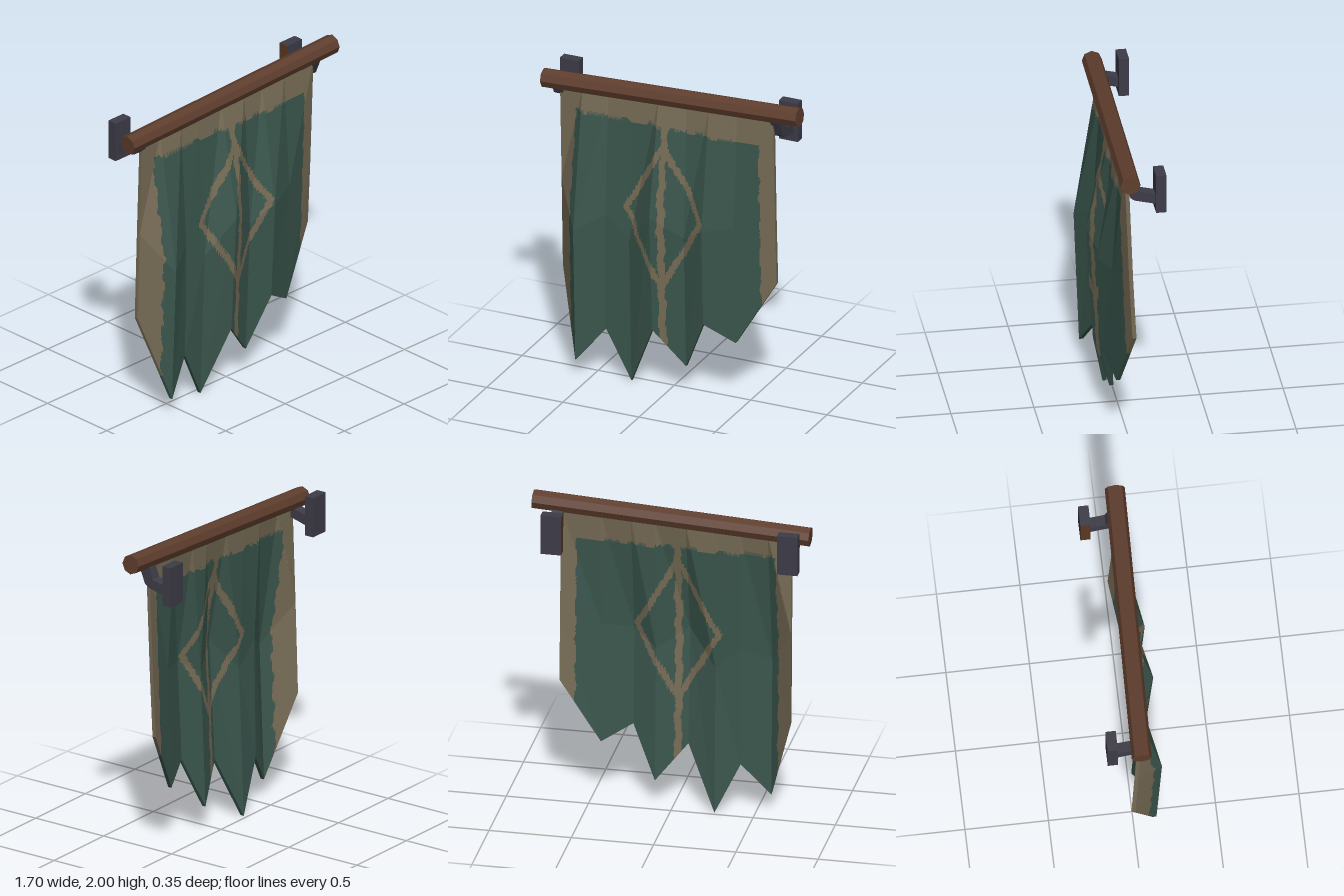
import * as THREE from 'three';

const mat = (name, color) => {
  const m = new THREE.MeshStandardMaterial({ color });
  m.name = name;
  return m;
};

// Pole axis as a function of x
const poleY = (x) => 1.9 + 0.047 * x;
const poleZ = (x) => 0.035 + 0.018 * x;

// Fold lines of the cloth: x, middle y, middle z, hem y, hem z
const folds = [
  [-0.735, 1.22, 0.0, 0.65, -0.018],
  [-0.587, 0.97, 0.158, 0.11, 0.125],
  [-0.415, 1.07, 0.07, 0.32, 0.06],
  [-0.26, 0.93, 0.07, 0.0, 0.035],
  [-0.085, 1.15, 0.163, 0.4, 0.12],
  [0.105, 1.02, 0.085, 0.17, 0.05],
  [0.25, 1.12, 0.15, 0.5, 0.12],
  [0.435, 1.15, 0.085, 0.39, 0.06],
  [0.675, 1.2, 0.02, 0.8, 0.0],
];
const rows = [
  ([x]) => new THREE.Vector3(x, poleY(x) - 0.03, poleZ(x)),
  ([x, y, z]) => new THREE.Vector3(x, y, z),
  ([x, , , y, z]) => new THREE.Vector3(x, y, z),
];
const N = 28;
const HALF = 0.012;

// Point on the folded cloth: each patch is two flat triangles
function clothPoint(i, j) {
  const c = Math.min(Math.floor(i / N), folds.length - 2);
  const r = Math.min(Math.floor(j / N), 1);
  const s = i / N - c, t = j / N - r;
  const a = rows[r](folds[c]), b = rows[r](folds[c + 1]);
  const d = rows[r + 1](folds[c]), e = rows[r + 1](folds[c + 1]);
  if (s + t <= 1) {
    return a.clone().addScaledVector(b.sub(a), s).addScaledVector(d.sub(a), t);
  }
  return e.clone().addScaledVector(d.sub(e), 1 - s).addScaledVector(b.sub(e), 1 - t);
}

// Worn border, centre stripe and diamond
function isTrim(x, y) {
  const wx = 0.005 * Math.sin(y * 31) + 0.003 * Math.sin(y * 73);
  const wy = 0.005 * Math.sin(x * 37) + 0.003 * Math.sin(x * 81);
  if (x < -0.635 + wx || x > 0.585 + wx || y > 1.705 + wy) return true;
  if (Math.abs(x + 0.025 + wx) < 0.021) return true;
  const diamond = Math.abs(x + 0.025) / 0.255 + Math.abs(y - 1.15) / 0.45;
  return Math.abs(diamond - 1 + wx * 2) < 0.085;
}

function buildCloth(materials) {
  const lists = [[], []];
  const tri = (a, b, c) => {
    const x = (a.x + b.x + c.x) / 3, y = (a.y + b.y + c.y) / 3;
    const list = lists[isTrim(x, y) ? 1 : 0];
    for (const p of [a, b, c]) list.push(p.x, p.y, p.z);
  };
  const quad = (a, b, c, d) => { tri(a, b, d); tri(b, c, d); };
  const W = (folds.length - 1) * N, H = 2 * N;
  const grid = (dz) => Array.from({ length: W + 1 }, (_, i) =>
    Array.from({ length: H + 1 }, (_, j) => {
      const p = clothPoint(i, j);
      p.z += dz;
      return p;
    }));
  const f = grid(HALF), k = grid(-HALF);
  for (let i = 0; i < W; i++) {
    for (let j = 0; j < H; j++) {
      // front and back faces
      quad(f[i][j], f[i][j + 1], f[i + 1][j + 1], f[i + 1][j]);
      quad(k[i + 1][j], k[i + 1][j + 1], k[i][j + 1], k[i][j]);
    }
    // top edge and hem
    quad(k[i][0], f[i][0], f[i + 1][0], k[i + 1][0]);
    quad(f[i][H], k[i][H], k[i + 1][H], f[i + 1][H]);
  }
  for (let j = 0; j < H; j++) {
    // side edges
    quad(k[0][j], k[0][j + 1], f[0][j + 1], f[0][j]);
    quad(f[W][j], f[W][j + 1], k[W][j + 1], k[W][j]);
  }
  const group = new THREE.Group();
  group.name = 'banner';
  ['clothField', 'clothTrim'].forEach((name, n) => {
    const g = new THREE.BufferGeometry();
    g.setAttribute('position', new THREE.Float32BufferAttribute(lists[n], 3));
    g.computeVertexNormals();
    const mesh = new THREE.Mesh(g, materials[n]);
    mesh.name = name;
    group.add(mesh);
  });
  return group;
}

// Wall plate with a bent arm reaching up to the pole
function buildBracket(name, x, plateMats, armMat) {
  const group = new THREE.Group();
  group.name = name;
  const plate = new THREE.Mesh(new THREE.BoxGeometry(0.125, 0.25, 0.062), plateMats);
  plate.name = 'wallPlate';
  plate.position.set(x, 1.815, -0.149);
  const z = poleZ(x), y = poleY(x);
  const profile = new THREE.Shape([
    [-0.125, 1.735], [0.005, 1.768], [0.03, 1.785], [z + 0.035, y - 0.02],
    [z - 0.03, y + 0.01], [-0.025, 1.825], [-0.125, 1.8],
  ].map(([a, b]) => new THREE.Vector2(a, b)));
  const g = new THREE.ExtrudeGeometry(profile, { depth: 0.066, bevelEnabled: false });
  g.rotateY(-Math.PI / 2).translate(x + 0.033, 0, 0);
  const arm = new THREE.Mesh(g, armMat);
  arm.name = 'bracketArm';
  group.add(plate, arm);
  return group;
}

export function createModel() {
  const teal = mat('teal cloth', 0x3a564d);
  const khaki = mat('khaki trim', 0x766b55);
  const wood = mat('brown wood', 0x5e3d2d);
  const iron = mat('dark iron', 0x3d3c48);
  const rust = mat('rust', 0x5c3820);
  wood.flatShading = true;

  const model = new THREE.Group();
  model.name = 'hangingBanner';

  // Tilted octagonal pole
  const a = new THREE.Vector3(-0.845, poleY(-0.845), poleZ(-0.845));
  const b = new THREE.Vector3(0.845, poleY(0.845), poleZ(0.845));
  const dir = b.clone().sub(a);
  const pole = new THREE.Mesh(new THREE.CylinderGeometry(0.06, 0.06, dir.length(), 8), wood);
  pole.name = 'pole';
  pole.position.copy(a).add(b).multiplyScalar(0.5);
  pole.quaternion.setFromUnitVectors(new THREE.Vector3(0, 1, 0), dir.normalize());
  model.add(pole);

  // Brackets, with rust on one face of each plate
  model.add(buildBracket('rightBracket', -0.745, [iron, iron, iron, rust, iron, iron], iron));
  model.add(buildBracket('leftBracket', 0.692, [iron, rust, iron, iron, iron, iron], iron));

  model.add(buildCloth([teal, khaki]));
  return model;
}
